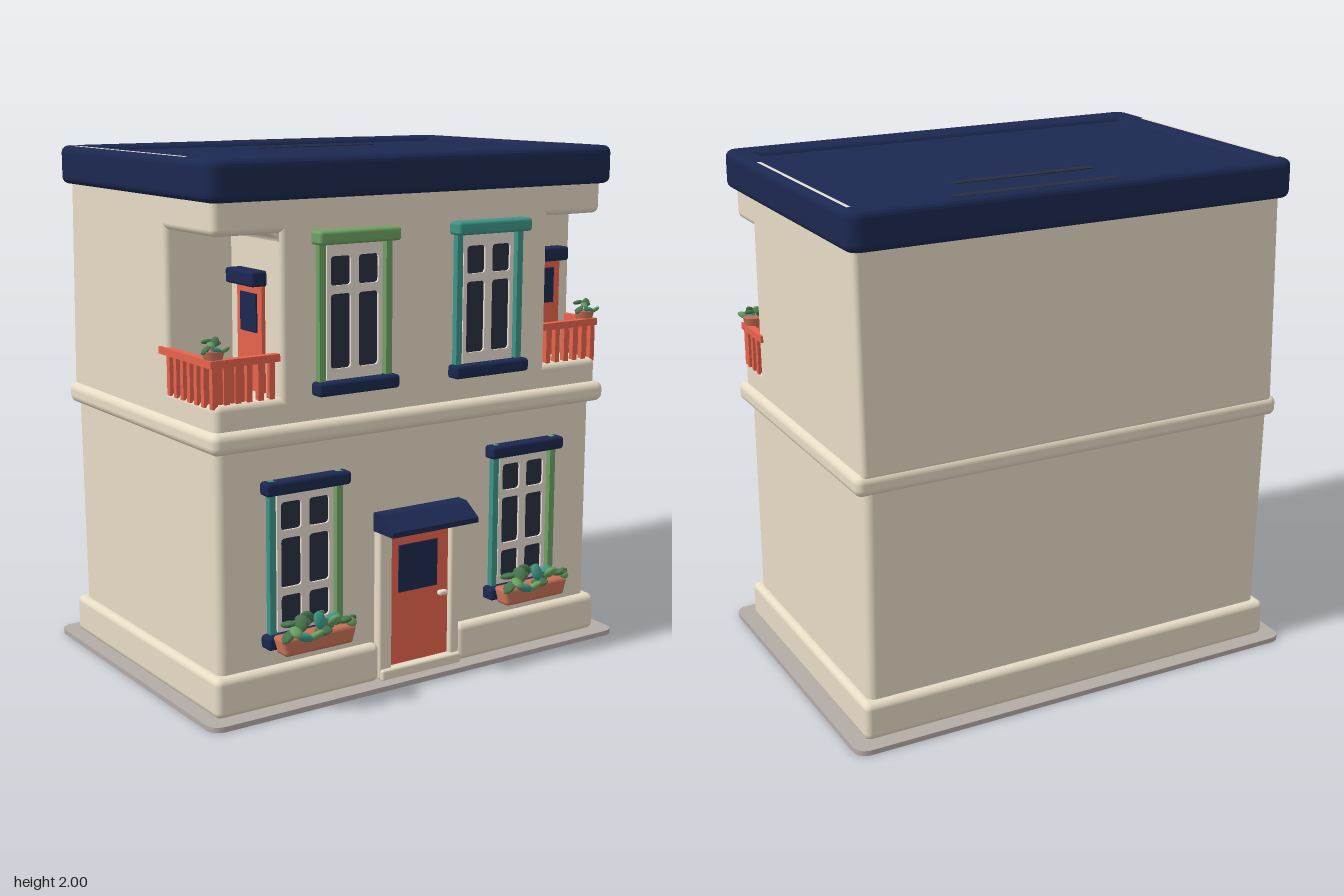
import * as THREE from 'three';
import { RoundedBoxGeometry } from 'three/addons/geometries/RoundedBoxGeometry.js';

const paint = (name, color) => Object.assign(new THREE.MeshStandardMaterial({ color }), { name });
const cream = paint('cream plaster', 0xebdfc8);
const navy = paint('navy trim', 0x1b2850);
const glass = paint('dark glass', 0x272f40);
const coral = paint('coral paint', 0xfa6b53);
const green = paint('green paint', 0x6da162);
const teal = paint('teal paint', 0x3d9487);
const clay = paint('terracotta', 0xc56f54);
const leaf = paint('leaf green', 0x47754c);
const frameWhite = paint('pale frame', 0xeae0d5);
const stone = paint('grey paving', 0xb4aba6);

const add = (parent, name, geometry, material) => {
  const mesh = new THREE.Mesh(geometry, material);
  mesh.name = name;
  parent.add(mesh);
  return mesh;
};

// Box given by its limits, with rounded edges when r > 0
function box(parent, name, material, [x0, x1], [y0, y1], [z0, z1], r = 0) {
  const size = [x1 - x0, y1 - y0, z1 - z0];
  const geometry = r ? new RoundedBoxGeometry(...size, 3, r) : new THREE.BoxGeometry(...size);
  geometry.translate((x0 + x1) / 2, (y0 + y1) / 2, (z0 + z1) / 2);
  return add(parent, name, geometry, material);
}

// Lean the back face of a wall: z changes by slope for each unit of height above y0
function leanBack(mesh, y0, slope) {
  const p = mesh.geometry.attributes.position;
  for (let i = 0; i < p.count; i++)
    if (p.getZ(i) < -0.3) p.setZ(i, p.getZ(i) + slope * (p.getY(i) - y0));
}

// Rectangle outline with rounded corners, for shapes and holes
function outline(path, x0, x1, y0, y1, r) {
  path.moveTo(x0 + r, y0);
  path.lineTo(x1 - r, y0).quadraticCurveTo(x1, y0, x1, y0 + r);
  path.lineTo(x1, y1 - r).quadraticCurveTo(x1, y1, x1 - r, y1);
  path.lineTo(x0 + r, y1).quadraticCurveTo(x0, y1, x0, y1 - r);
  path.lineTo(x0, y0 + r).quadraticCurveTo(x0, y0, x0 + r, y0);
  return path;
}

// Window centred on x = 0 against a wall at z = 0; rows are the pane limits in y
function makeWindow(name, y0, y1, rows, half, lintel, left, right, lintelDepth) {
  const g = new THREE.Group();
  g.name = name;
  const shape = outline(new THREE.Shape(), -0.12, 0.12, y0 + 0.03, y1 - 0.03, 0.005);
  for (const [a, b] of rows)
    for (const s of [-1, 1])
      shape.holes.push(outline(new THREE.Path(), s * 0.06 - 0.043, s * 0.06 + 0.043, a, b, 0.015));
  const frame = new THREE.ExtrudeGeometry(shape, { depth: 0.015, bevelEnabled: false, curveSegments: 4 });
  add(g, 'windowFrame', frame, frameWhite);
  box(g, 'windowGlass', glass, [-0.115, 0.115], [y0 + 0.04, y1 - 0.04], [0, 0.006]);
  box(g, 'leftJamb', left, [-0.157, -0.131], [y0, y1], [-0.01, 0.025]);
  box(g, 'rightJamb', right, [0.131, 0.157], [y0, y1], [-0.01, 0.025]);
  box(g, 'lintel', lintel, [-half, half], [y1 - 0.05, y1], [-0.01, lintelDepth], 0.012);
  box(g, 'sill', navy, [-half, half], [y0, y0 + 0.05], [-0.01, 0.055], 0.012);
  return g;
}

// Leafy clump of flattened balls, taller towards the middle
function addLeaves(parent, count, width, depth, size) {
  const ball = new THREE.IcosahedronGeometry(size, 1);
  for (let i = 0; i < count; i++) {
    const m = add(parent, 'leaf', ball, [leaf, green, leaf, teal, leaf][i % 5]);
    const u = (i + 0.5) / count * 2 - 1;
    m.position.set(u * width, Math.abs(Math.sin(i * 2.1)) * size * (1.5 - u * u), Math.sin(i * 2.4) * depth);
    m.scale.set(1, 0.4, 0.75);
    m.rotation.set(Math.sin(i * 1.7) * 0.8, i, Math.cos(i * 2.3) * 0.7);
  }
}

// Door slab with glazing and canopy, centred on x = 0, facing +z
function balconyDoor(w) {
  const g = new THREE.Group();
  g.name = 'balconyDoor';
  box(g, 'doorSlab', coral, [-w, w], [1.15, 1.54], [-0.01, 0.015]);
  box(g, 'doorGlass', navy, [-w * 0.65, w * 0.65], [1.37, 1.51], [0.015, 0.021]);
  box(g, 'doorCanopy', navy, [-w - 0.01, w + 0.01], [1.54, 1.595], [-0.01, 0.06], 0.01);
  return g;
}

// Railing on the front and outer side of a corner balcony that reaches back to z = back
function railing(side, back) {
  const g = new THREE.Group();
  g.name = 'balconyRailing';
  const span = (a, b) => [Math.min(side * a, side * b), Math.max(side * a, side * b)];
  box(g, 'frontRail', coral, span(0.605, 0.885), [1.285, 1.312], [0.485, 0.515]);
  box(g, 'sideRail', coral, span(0.855, 0.885), [1.285, 1.312], [back - 0.05, 0.515]);
  for (let i = 0; i < 6; i++) {
    const x = 0.625 + i * 0.046;
    box(g, 'frontBaluster', coral, span(x, x + 0.022), [1.14, 1.29], [0.489, 0.511]);
  }
  for (let z = back + 0.005; z < 0.47; z += 0.05)
    box(g, 'sideBaluster', coral, span(0.859, 0.881), [1.14, 1.29], [z, z + 0.022]);
  const pot = new THREE.Group();
  pot.name = 'balconyPlant';
  add(pot, 'pot', new THREE.CylinderGeometry(0.04, 0.032, 0.035, 12), clay);
  const foliage = new THREE.Group();
  foliage.name = 'foliage';
  foliage.position.y = 0.02;
  addLeaves(foliage, 7, 0.035, 0.03, 0.021);
  pot.add(foliage);
  pot.position.set(side * 0.852, 1.325, 0.475);
  g.add(pot);
  return g;
}

export function createModel() {
  const house = new THREE.Group();
  house.name = 'townhouse';

  // Paving slab
  const slab = new THREE.ExtrudeGeometry(outline(new THREE.Shape(), -0.95, 0.95, -0.61, 0.69, 0.06),
    { depth: 0.02, bevelEnabled: false });
  add(house, 'pavingSlab', slab.rotateX(-Math.PI / 2), stone);

  // Plinth, left open at the front for the door
  box(house, 'plinthBack', cream, [-0.895, 0.89], [0.015, 0.165], [-0.63, 0.4], 0.025);
  box(house, 'plinthFrontRight', cream, [-0.895, -0.19], [0.015, 0.165], [0, 0.545], 0.025);
  box(house, 'plinthFrontLeft', cream, [0.18, 0.89], [0.015, 0.165], [0, 0.545], 0.025);

  // Walls: lower storey, belt, balcony floor, upper storey and top band
  const lower = box(house, 'lowerWalls', cream, [-0.866, 0.862], [0.02, 1.04], [-0.598, 0.51], 0.03);
  leanBack(lower, 0.16, -0.026);
  box(house, 'beltCourse', cream, [-0.9, 0.9], [0.98, 1.06], [-0.634, 0.555], 0.03);
  box(house, 'balconyFloor', cream, [-0.875, 0.875], [1.0, 1.155], [-0.61, 0.525], 0.025);
  const upper = box(house, 'upperWalls', cream, [-0.875, 0.875], [1.04, 1.88], [-0.628, 0.18], 0.02);
  leanBack(upper, 1.06, 0.03);
  box(house, 'upperLeftWall', cream, [-0.605, 0.875], [1.06, 1.88], [0, 0.35], 0.02);
  box(house, 'upperFrontWall', cream, [-0.605, 0.605], [1.1, 1.8], [0, 0.525], 0.02);
  box(house, 'upperBand', cream, [-0.875, 0.875], [1.735, 1.9], [-0.59, 0.525], 0.025);

  // Balcony railings, and curved fillets at the inner top corners
  const curve = new THREE.Shape();
  curve.moveTo(0, 0.02).lineTo(0, -0.06).quadraticCurveTo(0, 0, 0.06, 0).lineTo(0.06, 0.02);
  for (const [side, back] of [[-1, 0.18], [1, 0.35]]) {
    const depth = 0.51 - back;
    const fillet = new THREE.ExtrudeGeometry(curve, { depth, bevelEnabled: false });
    if (side < 0) fillet.rotateY(Math.PI).translate(0, 0, depth);
    add(house, 'balconyFillet', fillet, cream).position.set(side * 0.6, 1.737, back);
    house.add(railing(side, back));
  }
  box(house, 'railingPanel', coral, [-0.855, -0.745], [1.15, 1.29], [0.495, 0.503]);

  // Roof rim with a slightly sunken deck
  const rim = outline(new THREE.Shape(), -0.88, 0.88, -0.54, 0.62, 0.03);
  rim.holes.push(outline(new THREE.Path(), -0.835, 0.835, -0.465, 0.555, 0.04));
  const rimGeometry = new THREE.ExtrudeGeometry(rim,
    { depth: 0.095, bevelSize: 0.028, bevelThickness: 0.026, bevelSegments: 4 });
  add(house, 'roofRim', rimGeometry.rotateX(-Math.PI / 2).translate(0, 1.878, 0), navy);
  box(house, 'roofDeck', navy, [-0.84, 0.84], [1.86, 1.98], [-0.57, 0.48]);

  // Weathering: pale worn strips along the roof ends and dark stains
  box(house, 'wornEdgeRight', frameWhite, [-0.882, -0.868], [1.993, 2], [-0.58, 0.35]);
  box(house, 'wornEdgeLeft', frameWhite, [0.868, 0.882], [1.993, 2], [-0.58, 0.25]);
  box(house, 'roofStain', glass, [-0.2, 0.37], [1.977, 1.983], [-0.355, -0.315]);
  box(house, 'rimStain', glass, [-0.15, 0.5], [1.994, 2], [-0.615, -0.575]);

  // Upper windows
  const upperRows = [[1.24, 1.51], [1.54, 1.645]];
  for (const [x, color] of [[-0.305, green], [0.305, teal]]) {
    const w = makeWindow('upperWindow', 1.15, 1.74, upperRows, 0.175, color, color, color, 0.06);
    w.position.set(x, 0, 0.525);
    house.add(w);
  }

  // Lower windows with planted boxes
  const lowerRows = [[0.32, 0.425], [0.455, 0.64], [0.67, 0.775]];
  for (const x of [-0.51, 0.508]) {
    const w = makeWindow('lowerWindow', 0.24, 0.86, lowerRows, 0.18, navy, teal, green, 0.05);
    w.position.set(x, 0, 0.51);
    const planter = box(w, 'planter', clay, [-0.16, 0.16], [0.228, 0.298], [0.04, 0.115], 0.015);
    const p = planter.geometry.attributes.position;
    for (let i = 0; i < p.count; i++) if (p.getY(i) < 0.26) p.setX(i, p.getX(i) * 0.92);
    const foliage = new THREE.Group();
    foliage.name = 'foliage';
    foliage.position.set(0, 0.303, 0.105);
    addLeaves(foliage, 18, 0.14, 0.045, 0.034);
    w.add(foliage);
    house.add(w);
  }

  // Front door with frame, step and sloping canopy
  const door = new THREE.Group();
  door.name = 'frontDoor';
  box(door, 'doorSlab', coral, [-0.135, 0.14], [0.06, 0.61], [0.5, 0.525]);
  box(door, 'doorGlass', navy, [-0.095, 0.085], [0.345, 0.53], [0.525, 0.531]);
  for (const [a, b] of [[-0.195, -0.135], [0.14, 0.185]])
    box(door, 'doorJamb', cream, [a, b], [0.02, 0.61], [0.5, 0.545], 0.01);
  box(door, 'doorStep', cream, [-0.19, 0.185], [0.015, 0.06], [0.5, 0.56], 0.01);
  box(door, 'doorHandle', frameWhite, [0.09, 0.13], [0.3, 0.32], [0.52, 0.545], 0.008);
  const slope = new THREE.Shape();
  slope.moveTo(0.5, 0.6).lineTo(0.635, 0.6).lineTo(0.635, 0.62).lineTo(0.56, 0.67).lineTo(0.5, 0.672);
  const canopy = new THREE.ExtrudeGeometry(slope, { depth: 0.4, bevelEnabled: false });
  add(door, 'doorCanopy', canopy.rotateY(-Math.PI / 2).translate(0.2, 0, 0), navy);
  house.add(door);

  // Balcony doors: one faces the front, the other the right side
  const leftDoor = balconyDoor(0.095);
  leftDoor.position.set(0.71, 0, 0.355);
  const rightDoor = balconyDoor(0.085);
  rightDoor.position.set(-0.605, 0, 0.33);
  rightDoor.rotation.y = -Math.PI / 2;
  house.add(leftDoor, rightDoor);
  return house;
}
